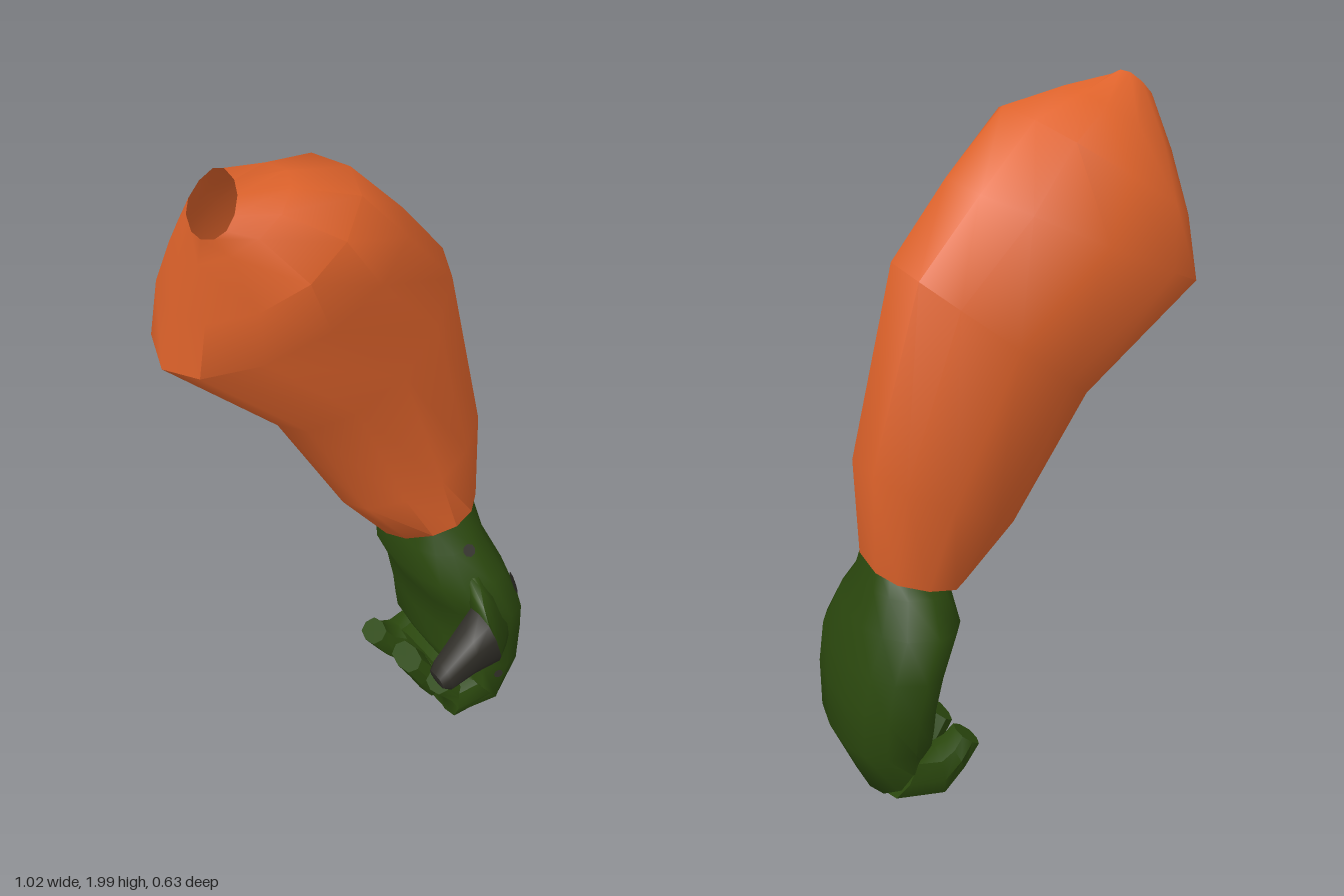
import * as THREE from 'three';
import { toCreasedNormals } from 'three/addons/utils/BufferGeometryUtils.js';

const material = (name, color, side = THREE.FrontSide) => {
  const m = new THREE.MeshStandardMaterial({ color, side });
  m.name = name;
  return m;
};

// Skin over rings. Each ring: inner x,y, outer x,y, back z, front z,
// lift of the front edge, forward skew of the outer edge.
// A low power gives boxy rings, a high one pointed rings; front and back may differ.
function loft(rings, { sides = 12, power = 0.8, frontPower = power, capStart = false, capEnd = false, crease = 0.8 } = {}) {
  const pos = [], index = [];
  const soft = (v, p) => Math.sign(v) * Math.abs(v) ** p;
  const centre = ([lx, ly, rx, ry, z0, z1]) => [(lx + rx) / 2, (ly + ry) / 2, (z0 + z1) / 2];
  for (const ring of rings) {
    const [lx, ly, rx, ry, z0, z1, lift = 0, skew = 0] = ring;
    const [cx, cy, cz] = centre(ring);
    for (let j = 0; j < sides; j++) {
      const t = (j / sides) * Math.PI * 2;
      const p = j < sides / 2 ? frontPower : power;
      const c = soft(Math.cos(t), p), s = soft(Math.sin(t), p);
      pos.push(
        cx + (c * (rx - lx)) / 2,
        cy + (c * (ry - ly)) / 2 + s * lift,
        cz + (s * (z1 - z0)) / 2 + c * skew,
      );
    }
  }
  for (let i = 0; i < rings.length - 1; i++) {
    for (let j = 0; j < sides; j++) {
      const k = (j + 1) % sides, a = i * sides + j, b = i * sides + k;
      index.push(a, b, a + sides, b, b + sides, a + sides);
    }
  }
  const cap = (i, flip) => {
    const c = pos.length / 3;
    pos.push(...centre(rings[i]));
    for (let j = 0; j < sides; j++) {
      const a = i * sides + j, b = i * sides + ((j + 1) % sides);
      index.push(c, flip ? b : a, flip ? a : b);
    }
  };
  if (capStart) cap(0, true);
  if (capEnd) cap(rings.length - 1, false);
  const g = new THREE.BufferGeometry();
  g.setAttribute('position', new THREE.Float32BufferAttribute(pos, 3));
  g.setIndex(index);
  return toCreasedNormals(g, crease);
}

export function createModel() {
  const model = new THREE.Group();
  model.name = 'arm';
  const orange = material('sleeve orange', 0xdf632b, THREE.DoubleSide);
  const green = material('glove green', 0x2b480e);
  const grey = material('dark grey', 0x302e28);
  const add = (name, geometry, mat, parent = model) => {
    const mesh = new THREE.Mesh(geometry, mat);
    mesh.name = name;
    parent.add(mesh);
    return mesh;
  };

  // Sleeve: open at the shoulder, bulging, then tapering to a turned-in cuff
  add('sleeve', loft([
    [-0.46, 1.885, -0.345, 1.985, -0.04, 0.09, -0.035],
    [-0.475, 1.79, -0.2, 1.965, -0.15, 0.125, 0, 0.02],
    [-0.49, 1.63, -0.02, 1.925, -0.285, 0.21, 0, 0.03],
    [-0.515, 1.46, 0.15, 1.76, -0.32, 0.18, 0, 0.03],
    [-0.2, 1.175, 0.32, 1.57, -0.32, 0.13],
    [0.0, 0.83, 0.44, 1.05, -0.27, 0.09],
    [0.13, 0.68, 0.42, 0.76, -0.21, 0.1, 0.035],
    [0.17, 0.68, 0.4, 0.745, -0.17, 0.08, 0.025],
  ], { frontPower: 1.1 }), orange);

  // Hand: from the wrist over the curved back and knuckles to the curled underside
  const hand = new THREE.Group();
  hand.name = 'hand';
  model.add(hand);
  add('palm', loft([
    [0.19, 0.7, 0.395, 0.76, -0.17, 0.075, 0.02],
    [0.18, 0.65, 0.415, 0.67, -0.21, 0.12, 0, 0.01],
    [0.165, 0.56, 0.455, 0.57, -0.265, 0.19, 0, 0.03],
    [0.22, 0.45, 0.49, 0.45, -0.285, 0.23, 0, 0.05],
    [0.25, 0.32, 0.51, 0.34, -0.28, 0.205, 0, 0.05],
    [0.25, 0.23, 0.51, 0.19, -0.26, 0.205, 0, 0.04],
    [0.28, 0.17, 0.44, 0.035, -0.23, 0.215, 0, 0.01],
    [0.25, 0.165, 0.25, 0.015, -0.21, 0.2],
  ], { sides: 14, capEnd: true, crease: 1.2 }), green, hand);

  // Curled finger ends, longest at the rear: back z, front z, tip x, height offset
  [[-0.24, -0.08, 0.122, 0.012], [-0.1, 0.09, 0.15, 0], [0.06, 0.215, 0.18, 0.03]].forEach(([z0, z1, tip, up], i) => {
    add('finger' + (i + 1), loft([
      [0.31, 0.17, 0.4, 0.03 + up, z0, z1],
      [0.25, 0.155, 0.24, 0.005 + up, z0 + 0.01, z1 - 0.01],
      [tip + 0.09, 0.17, tip + 0.05, 0.075 + up, z0 + 0.02, z1 - 0.02],
      [tip + 0.065, 0.2, tip, 0.155, z0 + 0.03, z1 - 0.03],
    ], { sides: 8, capStart: true, capEnd: true }), green, hand);
  });

  // Thumb: green root growing out of the hand and a dark tip pointing inwards
  add('thumbRoot', loft([
    [0.32, 0.63, 0.48, 0.33, -0.05, 0.17],
    [0.29, 0.6, 0.44, 0.325, 0.05, 0.23],
    [0.275, 0.56, 0.39, 0.325, 0.11, 0.275],
    [0.27, 0.52, 0.33, 0.325, 0.17, 0.315],
  ], { sides: 10, capStart: true, crease: 1.2 }), green, hand);
  add('thumbTip', loft([
    [0.27, 0.52, 0.33, 0.325, 0.17, 0.315],
    [0.22, 0.475, 0.24, 0.315, 0.185, 0.307],
    [0.135, 0.385, 0.16, 0.285, 0.2, 0.295],
    [0.115, 0.355, 0.13, 0.305, 0.215, 0.285],
  ], { sides: 10, capEnd: true }), grey, hand);

  // Dark spots laid on the glove surface
  model.updateMatrixWorld(true);
  const spots = [
    [[2, 0.49, 0.155], [-1, 0, 0], 0.036],
    [[0.31, 0.66, 2], [0, 0, -1], 0.02],
    [[0.39, 0.18, 2], [0, 0, -1], 0.015],
  ];
  for (const [from, dir, r] of spots) {
    const ray = new THREE.Raycaster(new THREE.Vector3(...from), new THREE.Vector3(...dir));
    const hit = ray.intersectObjects(hand.children)[0];
    const spot = add('spot', new THREE.CircleGeometry(r, 8), grey);
    spot.position.copy(hit.point).addScaledVector(hit.face.normal, 0.005);
    spot.quaternion.setFromUnitVectors(new THREE.Vector3(0, 0, 1), hit.face.normal);
  }
  return model;
}
